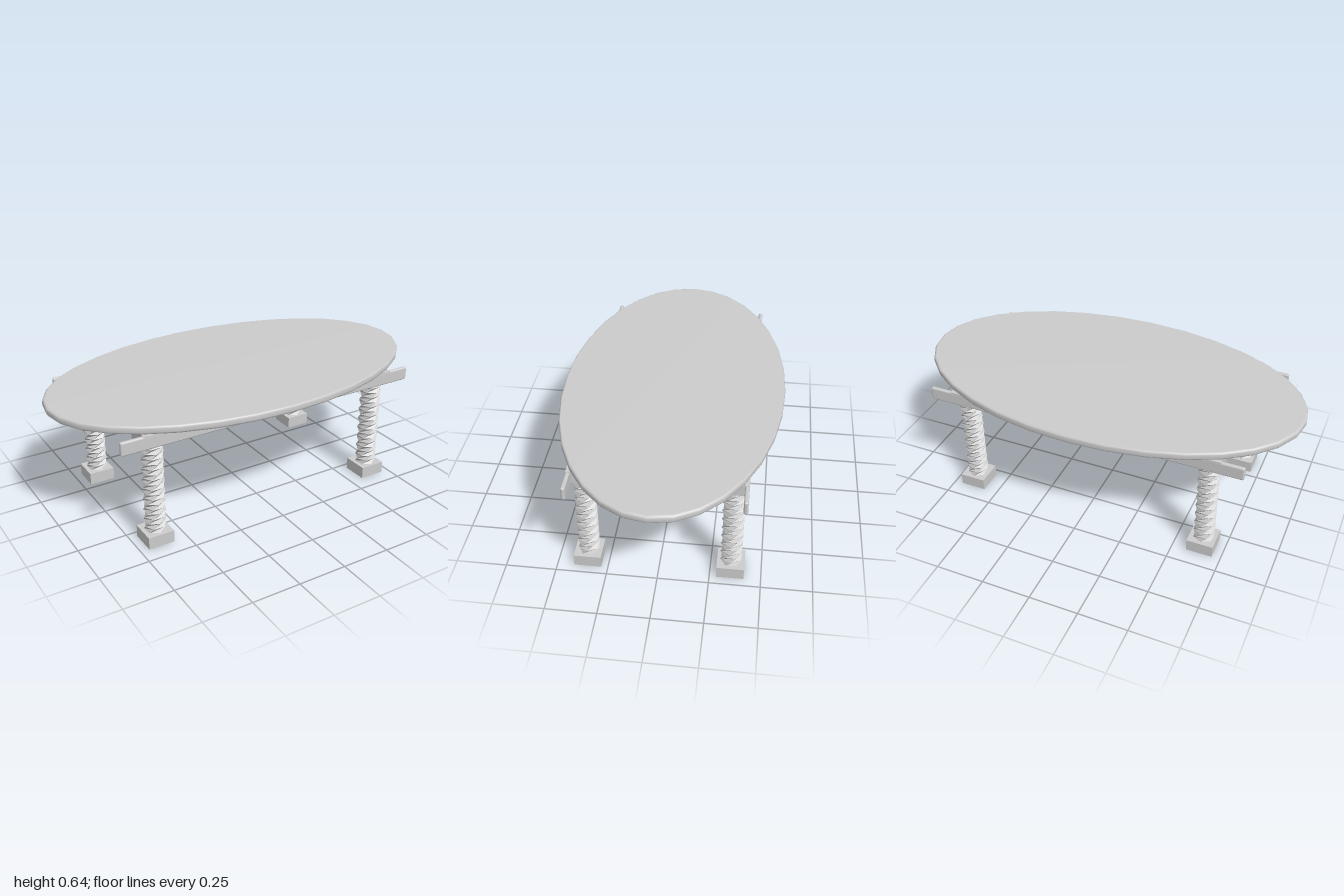
import * as THREE from 'three';
import { RoundedBoxGeometry } from 'three/addons/geometries/RoundedBoxGeometry.js';

const smooth = new THREE.MeshStandardMaterial({ color: 0xcccccc });
const faceted = new THREE.MeshStandardMaterial({ color: 0xcccccc, flatShading: true });

function addPart(parent, name, geometry, material, x, y, z) {
  const mesh = new THREE.Mesh(geometry, material);
  mesh.name = name;
  mesh.position.set(x, y, z);
  parent.add(mesh);
  return mesh;
}

// Six-sided column turned a sixth of a circle at every level
function twistedColumn(radius, height, levels) {
  const geometry = new THREE.CylinderGeometry(radius, radius, height, 6, levels * 2, true);
  const p = geometry.attributes.position;
  const v = new THREE.Vector3();
  const up = new THREE.Vector3(0, 1, 0);
  for (let i = 0; i < p.count; i++) {
    v.fromBufferAttribute(p, i);
    v.applyAxisAngle(up, (v.y / height + 0.5) * levels * Math.PI / 3);
    p.setXYZ(i, v.x, v.y, v.z);
  }
  geometry.computeVertexNormals();
  return geometry;
}

// Oval top with a softened rim
function ovalTop() {
  const profile = [
    [0, 0.6], [0.985, 0.6], [0.995, 0.604], [1, 0.612],
    [1, 0.63], [0.995, 0.637], [0.985, 0.641], [0, 0.641],
  ].map(([r, y]) => new THREE.Vector2(r, y));
  const geometry = new THREE.LatheGeometry(profile, 32);
  geometry.scale(1, 1, 0.56);
  return geometry;
}

export function createModel() {
  const table = new THREE.Group();
  table.name = 'ovalTable';

  addPart(table, 'tableTop', ovalTop(), smooth, 0, 0, 0);

  const column = twistedColumn(0.054, 0.48, 9);
  const block = new THREE.BoxGeometry(0.134, 0.062, 0.134);
  const rail = new RoundedBoxGeometry(1.64, 0.07, 0.021, 3, 0.009);

  for (const sz of [1, -1]) {
    const end = sz > 0 ? 'front' : 'back';
    // Long side rail let into the outer faces of the leg blocks
    addPart(table, `${end}Rail`, rail, smooth, 0, 0.565, sz * 0.407);

    for (const sx of [1, -1]) {
      // Leg: foot, twisted column and upper block
      const leg = new THREE.Group();
      leg.name = `${end}${sx > 0 ? 'Left' : 'Right'}Leg`;
      leg.position.set(sx * 0.64, 0, sz * 0.35);
      addPart(leg, 'foot', block, faceted, 0, 0.031, 0);
      addPart(leg, 'twistedColumn', column, faceted, 0, 0.3, 0);
      addPart(leg, 'upperBlock', block, faceted, 0, 0.57, 0);
      table.add(leg);
    }
  }
  return table;
}
